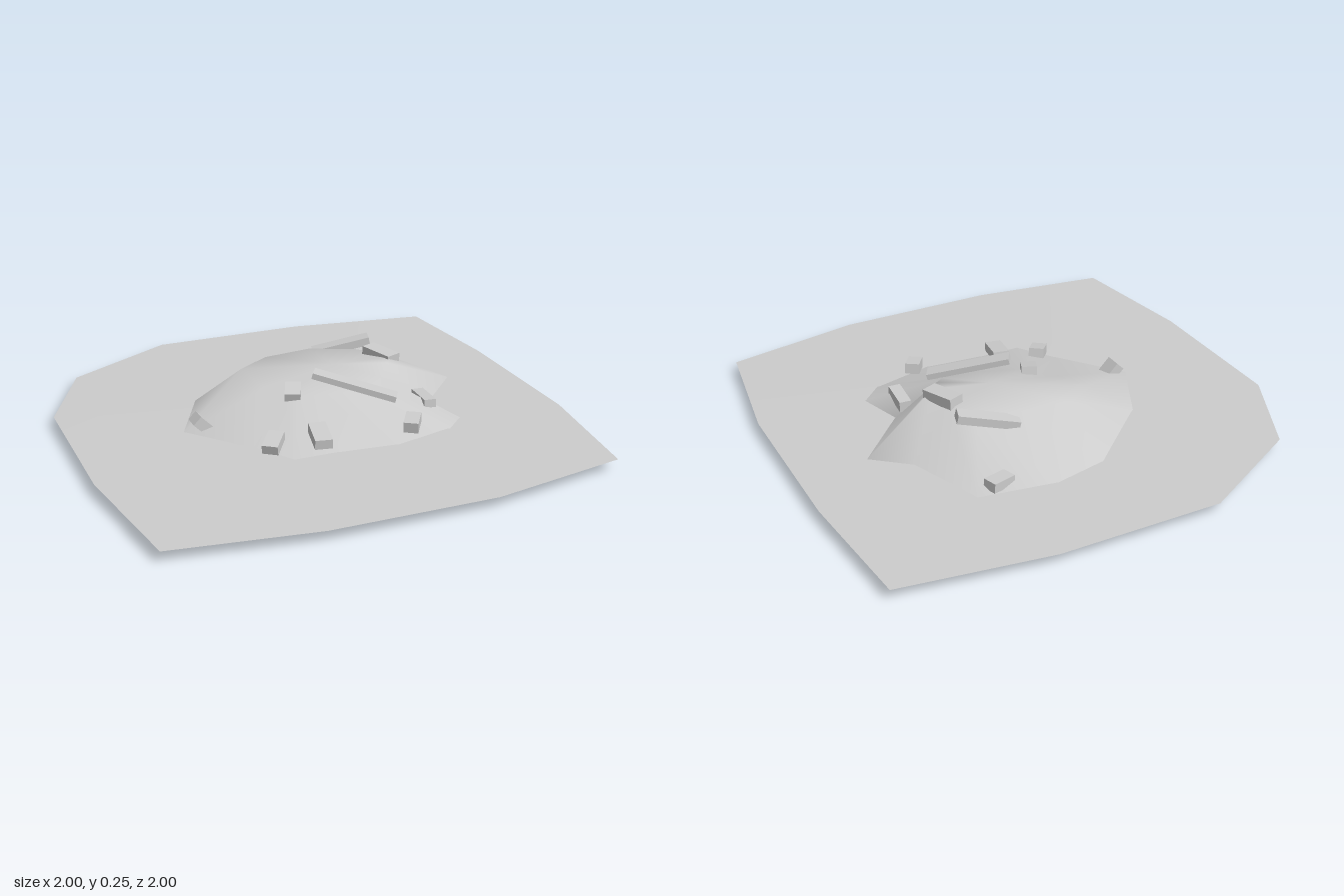
import * as THREE from 'three';

// Smooth surface: a centre point surrounded by nested rings of equal length
function ringSurface(center, rings) {
  const n = rings[0].length;
  const index = [];
  for (let i = 0; i < n; i++) {
    const j = (i + 1) % n;
    index.push(0, 1 + j, 1 + i);
    for (let r = 0; r + 1 < rings.length; r++) {
      const a = 1 + r * n, b = a + n;
      index.push(a + i, a + j, b + i, a + j, b + j, b + i);
    }
  }
  const geometry = new THREE.BufferGeometry();
  geometry.setAttribute('position', new THREE.Float32BufferAttribute([center, ...rings.flat()].flat(), 3));
  geometry.setIndex(index);
  geometry.computeVertexNormals();
  return geometry;
}

export function createModel() {
  const group = new THREE.Group();
  const grey = new THREE.MeshStandardMaterial({ color: 0xcccccc, side: THREE.DoubleSide });
  grey.name = 'rubble grey';

  function add(name, geometry) {
    const mesh = new THREE.Mesh(geometry, grey);
    mesh.name = name;
    group.add(mesh);
    return mesh;
  }

  // Thin ground sheet, rising very slightly to the middle
  const outline = [
    [0.34, -1], [0.95, -0.91], [1, -0.36], [1, 0.34], [0.92, 0.89], [0.34, 1],
    [-0.34, 1], [-0.92, 0.92], [-1, 0.34], [-1, -0.34], [-0.81, -0.74], [-0.34, -1],
  ];
  add('groundSheet', ringSurface([0, 0.061, 0], [
    outline.map(([x, z]) => [x * 0.4, 0.059, z * 0.4]),
    outline.map(([x, z]) => [x, 0.053, z]),
  ]));

  // Mound: an irregular plateau sloping down to a rim just under the sheet
  const plateau = [
    [0.38, 0.235, -0.02], [0.34, 0.23, 0.03], [0.28, 0.2, 0.1], [0.22, 0.18, 0.13],
    [0.1, 0.17, 0.13], [0, 0.165, 0.1], [-0.08, 0.16, 0.08], [-0.12, 0.16, 0.02],
    [-0.18, 0.165, -0.05], [-0.22, 0.195, -0.22], [-0.08, 0.2, -0.3], [0.12, 0.21, -0.3],
    [0.3, 0.2, -0.26], [0.36, 0.22, -0.12],
  ];
  const rim = [
    [0.72, -0.12], [0.5, 0.12], [0.56, 0.32], [0.47, 0.41], [0.2, 0.48], [-0.05, 0.46],
    [-0.25, 0.46], [-0.36, 0.3], [-0.57, 0.03], [-0.42, -0.28], [-0.1, -0.57], [0.13, -0.62],
    [0.45, -0.57], [0.57, -0.25],
  ].map(([x, z]) => [x, 0.05, z]);
  add('mound', ringSurface([0.14, 0.222, -0.06], [plateau, rim]));

  // Box laid between two points
  function block(name, from, to, width, thickness) {
    const a = new THREE.Vector3(...from), b = new THREE.Vector3(...to);
    const mesh = add(name, new THREE.BoxGeometry(width, thickness, a.distanceTo(b)));
    mesh.position.copy(a).lerp(b, 0.5);
    mesh.lookAt(b);
  }

  // Long planks
  block('plank', [-0.005, 0.243, 0.055], [0.29, 0.158, 0.23], 0.065, 0.025);
  block('plank', [0.15, 0.18, -0.325], [0.385, 0.235, -0.255], 0.065, 0.035);

  // Scattered broken blocks
  const blocks = [
    [[0.29, 0.078, -0.512], [0.39, 0.085, -0.545], 0.06, 0.04],
    [[0.335, 0.23, -0.15], [0.39, 0.222, -0.01], 0.07, 0.045],
    [[-0.11, 0.16, 0.09], [-0.075, 0.182, 0.01], 0.065, 0.045],
    [[0.435, 0.11, 0.25], [0.445, 0.105, 0.11], 0.05, 0.045],
    [[0.255, 0.11, 0.435], [0.305, 0.122, 0.36], 0.06, 0.045],
    [[-0.115, 0.1, 0.43], [-0.09, 0.118, 0.295], 0.07, 0.04],
    [[-0.31, 0.075, 0.355], [-0.25, 0.1, 0.275], 0.065, 0.045],
    [[-0.505, 0.112, 0.02], [-0.415, 0.021, 0.02], 0.07, 0.045],
  ];
  blocks.forEach((args) => block('rubbleBlock', ...args));

  return group;
}
